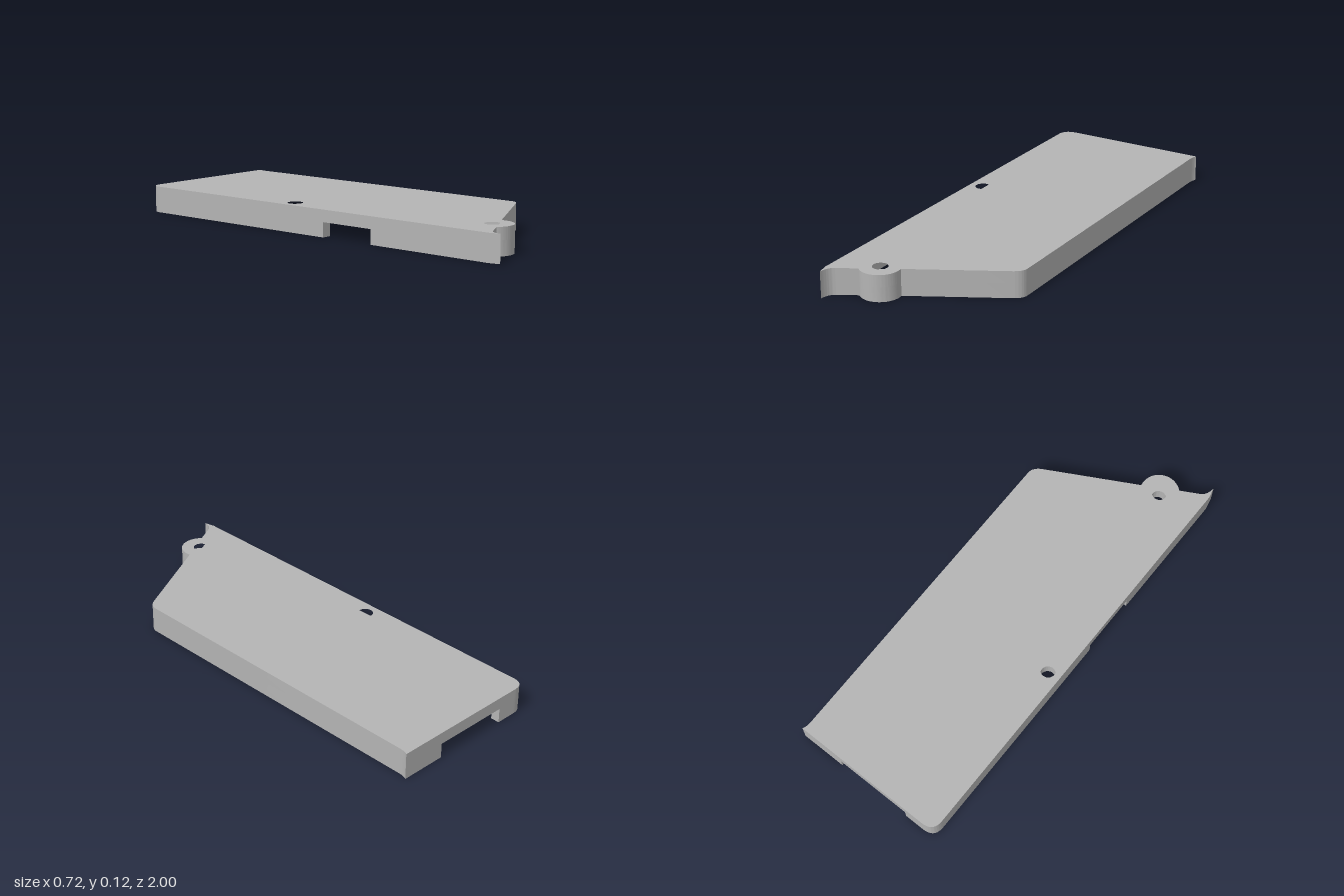
import * as THREE from 'three';
import { toCreasedNormals } from 'three/addons/utils/BufferGeometryUtils.js';

const HEIGHT = 0.12;   // overall height
const UNDER = 0.066;   // underside of the top plate
const HOLE = 0.034;    // screw hole radius
const FRONT = { x: -0.175, z: 0.83, r: 0.09 };
const SIDE = { x: -0.3, z: -0.14, r: 0.085 };

// Plan shapes are drawn as (x, -z) and extruded upwards.
// A point of four numbers is a quadratic curve: control x, z, end x, z.
function trace(shape, points) {
  points.forEach((p, i) => {
    if (p.length === 4) shape.quadraticCurveTo(p[0], -p[1], p[2], -p[3]);
    else if (i === 0 && !shape.curves.length) shape.moveTo(p[0], -p[1]);
    else shape.lineTo(p[0], -p[1]);
  });
  return shape;
}

function drill(shape, { x, z }) {
  shape.holes.push(new THREE.Path().absarc(x, -z, HOLE, 0, Math.PI * 2, true));
  return shape;
}

export function createModel() {
  const group = new THREE.Group();
  const grey = new THREE.MeshStandardMaterial({ color: 0xb4b4b4 });
  grey.name = 'grey';

  function add(name, shape, y0, y1) {
    const geo = new THREE.ExtrudeGeometry(shape, {
      depth: y1 - y0, bevelEnabled: false, curveSegments: 32,
    });
    geo.rotateX(-Math.PI / 2);
    geo.translate(0, y0, 0);
    const mesh = new THREE.Mesh(toCreasedNormals(geo, 0.5), grey);
    mesh.name = name;
    group.add(mesh);
  }

  // Top plate: slanted front with a round lug, pointed tip and flared corner
  const plate = trace(new THREE.Shape(), [
    [-0.3, -1], [0.36, -1], [0.35, -0.985, 0.35, -0.95],
    [0.35, 0.54], [0.35, 0.573, 0.31, 0.595], [-0.087, 0.81],
  ]);
  plate.absarc(FRONT.x, -FRONT.z, FRONT.r, 0.22, -2.33, true);
  trace(plate, [
    [-0.32, 0.94], [-0.348, 0.955, -0.352, 1], [-0.363, 0.95],
    [-0.363, -0.94], [-0.363, -1, -0.3, -1],
  ]);
  drill(plate, FRONT);
  drill(plate, SIDE);
  add('topPlate', plate, UNDER, HEIGHT);

  // Skirt walls under the plate, leaving a notch at the back and at the right
  const walls = {
    leftAndFrontWall: [
      [0.15, -1], [0.36, -1], [0.35, -0.985, 0.35, -0.95],
      [0.35, 0.54], [0.35, 0.573, 0.31, 0.595], [-0.115, 0.825],
      [-0.115, 0.78], [0.31, 0.55], [0.31, -0.96], [0.15, -0.96],
    ],
    rightFrontWall: [
      [-0.22, 0.886], [-0.32, 0.94], [-0.348, 0.955, -0.352, 1],
      [-0.363, 0.95], [-0.363, 0.345], [-0.32, 0.345], [-0.32, 0.894], [-0.22, 0.84],
    ],
    rightMiddleWall: [
      [-0.363, 0.08], [-0.363, -0.09], [-0.32, -0.09], [-0.32, 0.08],
    ],
    rightBackWall: [
      [-0.363, -0.19], [-0.363, -0.94], [-0.363, -1, -0.3, -1], [-0.207, -1],
      [-0.207, -0.96], [-0.3, -0.96], [-0.32, -0.96, -0.32, -0.94], [-0.32, -0.19],
    ],
  };
  for (const [name, points] of Object.entries(walls)) {
    add(name, trace(new THREE.Shape(), points), 0, UNDER);
  }

  // Screw bosses; the side one is cut flush with the outer wall
  const frontBoss = new THREE.Shape().absarc(FRONT.x, -FRONT.z, FRONT.r, 0, Math.PI * 2);
  add('frontBoss', drill(frontBoss, FRONT), 0, UNDER);
  const cut = Math.acos((-0.363 - SIDE.x) / SIDE.r);
  const sideBoss = new THREE.Shape().absarc(SIDE.x, -SIDE.z, SIDE.r, -cut, cut);
  add('sideBoss', drill(sideBoss, SIDE), 0, UNDER);

  return group;
}
